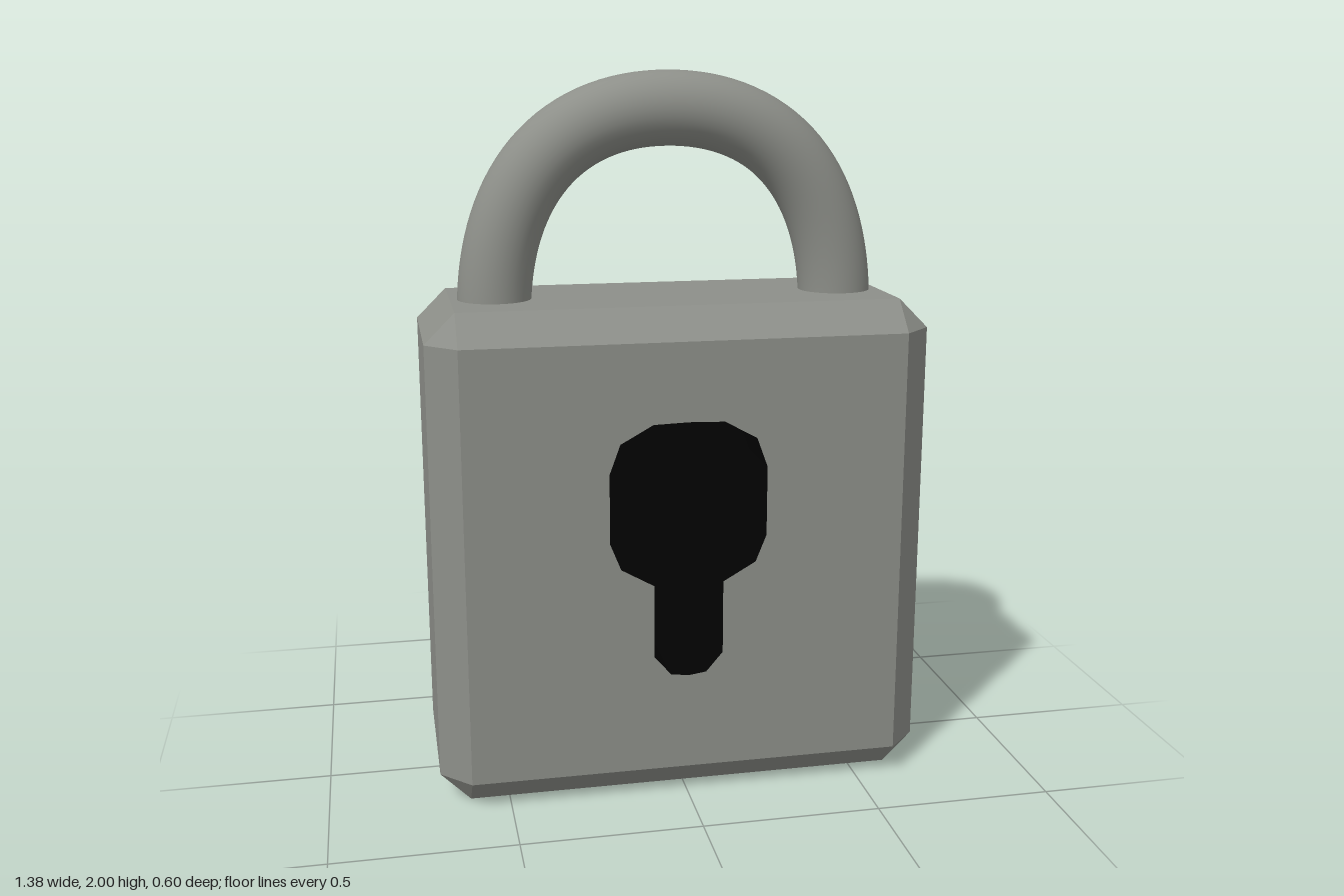
import * as THREE from 'three';

const W = 0.692, H = 1.387, D = 0.302, B = 0.083; // half width, height, half depth, chamfer
const HOLE_DEPTH = 0.2;

const steel = new THREE.MeshStandardMaterial({ color: 0x8d8f89 });
const dark = new THREE.MeshStandardMaterial({ color: 0x020202 });

function mesh(name, geometry, material) {
  const m = new THREE.Mesh(geometry, material);
  m.name = name;
  return m;
}

// Faceted skin through rings of matching [x, y] points, ordered from low to high z
function loft(rings) {
  const pos = [];
  for (let r = 0; r < rings.length - 1; r++) {
    const lo = rings[r], hi = rings[r + 1], n = lo.pts.length;
    for (let i = 0; i < n; i++) {
      const j = (i + 1) % n;
      const a = new THREE.Vector3(...lo.pts[i], lo.z), b = new THREE.Vector3(...lo.pts[j], lo.z);
      const c = new THREE.Vector3(...hi.pts[j], hi.z), d = new THREE.Vector3(...hi.pts[i], hi.z);
      for (const t of [[a, b, c], [a, c, d]]) {
        if (new THREE.Triangle(...t).getArea() > 1e-8) t.forEach(v => pos.push(v.x, v.y, v.z));
      }
    }
  }
  const g = new THREE.BufferGeometry();
  g.setAttribute('position', new THREE.Float32BufferAttribute(pos, 3));
  g.computeVertexNormals();
  return g;
}

const toVectors = pts => pts.map(p => new THREE.Vector2(...p));

export function createModel() {
  const model = new THREE.Group();
  model.name = 'padlock';

  // Keyhole outline, clockwise: up one side and mirrored down the other
  const side = [[0.05, 0.365], [0.097, 0.42], [0.097, 0.628], [0.188, 0.68],
    [0.218, 0.755], [0.218, 0.95], [0.188, 1.032], [0.098, 1.082]];
  const keyhole = [[0, 0.358], ...side.map(([x, y]) => [-x, y]), [0, 1.085], ...side.slice().reverse()];

  // Body: an octagonal middle narrowing to a rectangle at front and back
  const x = W - B, y0 = B, y1 = H - B;
  const octagon = [[x, 0], [W, y0], [W, y1], [x, H], [-x, H], [-W, y1], [-W, y0], [-x, 0]];
  const rect = [[x, y0], [x, y1], [-x, y1], [-x, y0]];
  const rectRing = rect.flatMap(p => [p, p]);
  const body = new THREE.Group();
  body.name = 'body';
  body.add(mesh('bodyShell', loft([
    { pts: rectRing, z: -D }, { pts: octagon, z: -D + B },
    { pts: octagon, z: D - B }, { pts: rectRing, z: D },
  ]), steel));

  const frontShape = new THREE.Shape(toVectors(rect));
  frontShape.holes.push(new THREE.Path(toVectors(keyhole)));
  body.add(mesh('frontPlate', new THREE.ShapeGeometry(frontShape).translate(0, 0, D), steel));
  body.add(mesh('backPlate',
    new THREE.ShapeGeometry(new THREE.Shape(toVectors(rect))).rotateY(Math.PI).translate(0, 0, -D), steel));
  model.add(body);

  // Recessed keyhole: inward-facing walls and a floor
  const hole = new THREE.Group();
  hole.name = 'keyhole';
  hole.add(mesh('keyholeWalls', loft([{ pts: keyhole, z: D - HOLE_DEPTH }, { pts: keyhole, z: D }]), dark));
  hole.add(mesh('keyholeFloor',
    new THREE.ShapeGeometry(new THREE.Shape(toVectors(keyhole))).translate(0, 0, D - HOLE_DEPTH), dark));
  model.add(hole);

  // Shackle: broad-shouldered arch of two mirrored curves, its ends sunk into the body
  const foot = 0.488, base = 1.33, top = 1.898, pull = 0.63;
  const point = (px, py) => new THREE.Vector3(px, py, 0);
  const shoulder = base + (top - base) * pull;
  const arch = new THREE.CurvePath();
  arch.add(new THREE.CubicBezierCurve3(
    point(-foot, base), point(-foot, shoulder), point(-foot * pull, top), point(0, top)));
  arch.add(new THREE.CubicBezierCurve3(
    point(0, top), point(foot * pull, top), point(foot, shoulder), point(foot, base)));
  model.add(mesh('shackle', new THREE.TubeGeometry(arch, 64, 0.102, 32), steel));

  return model;
}
